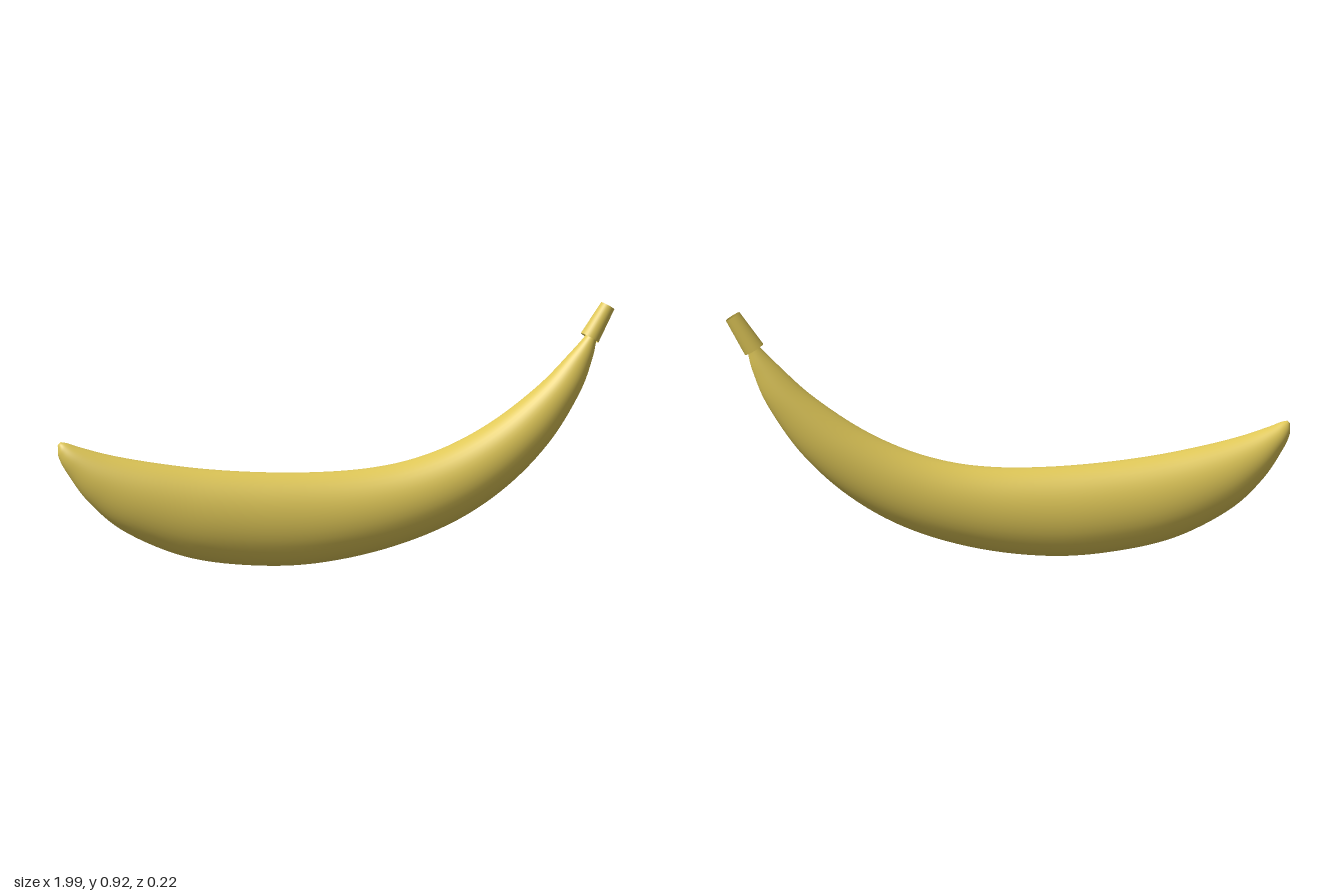
import * as THREE from 'three';

// Cross-sections along the fruit: inner edge x, y, outer edge x, y, half depth
const SECTIONS = [
  [-0.988, 0.478, -0.998, 0.457, 0.010],
  [-0.965, 0.473, -0.996, 0.425, 0.025],
  [-0.92, 0.456, -0.97, 0.37, 0.045],
  [-0.82, 0.425, -0.90, 0.265, 0.072],
  [-0.68, 0.394, -0.78, 0.155, 0.094],
  [-0.50, 0.364, -0.58, 0.058, 0.107],
  [-0.30, 0.344, -0.36, 0.014, 0.11],
  [-0.10, 0.336, -0.12, 0.006, 0.11],
  [0.08, 0.342, 0.15, 0.048, 0.11],
  [0.24, 0.367, 0.40, 0.135, 0.108],
  [0.40, 0.42, 0.60, 0.26, 0.10],
  [0.56, 0.505, 0.76, 0.42, 0.085],
  [0.72, 0.625, 0.87, 0.595, 0.06],
  [0.83, 0.735, 0.915, 0.715, 0.037],
  [0.885, 0.795, 0.93, 0.785, 0.024],
  [0.905, 0.822, 0.94, 0.81, 0.02],
];

// Smooth loft of elliptical rings between the inner and outer edge curves
function fruitGeometry(rings = 96, sides = 40) {
  const spline = (f) => new THREE.CatmullRomCurve3(SECTIONS.map(f), false, 'catmullrom', 0.5);
  const inner = spline((s) => new THREE.Vector3(s[0], s[1], 0));
  const outer = spline((s) => new THREE.Vector3(s[2], s[3], s[4]));
  const positions = [];
  const index = [];
  const centres = [];
  for (let i = 0; i <= rings; i++) {
    const a = inner.getPoint(i / rings);
    const b = outer.getPoint(i / rings);
    const depth = b.z;
    b.z = 0;
    const centre = a.clone().add(b).multiplyScalar(0.5);
    const up = a.sub(centre);
    centres.push(centre);
    for (let j = 0; j < sides; j++) {
      const t = (j / sides) * Math.PI * 2;
      positions.push(centre.x + up.x * Math.cos(t), centre.y + up.y * Math.cos(t), depth * Math.sin(t));
    }
  }
  for (let i = 0; i < rings; i++) {
    for (let j = 0; j < sides; j++) {
      const k = (j + 1) % sides;
      const a = i * sides + j, c = i * sides + k;
      index.push(a, c, a + sides, c, c + sides, a + sides);
    }
  }
  // Close both ends
  const start = positions.length / 3;
  const first = centres[0], last = centres[rings];
  positions.push(first.x - 0.005, first.y, 0, last.x, last.y, 0);
  for (let j = 0; j < sides; j++) {
    const k = (j + 1) % sides;
    index.push(start, k, j, start + 1, rings * sides + j, rings * sides + k);
  }
  const geometry = new THREE.BufferGeometry();
  geometry.setAttribute('position', new THREE.Float32BufferAttribute(positions, 3));
  geometry.setIndex(index);
  geometry.computeVertexNormals();
  return geometry;
}

export function createModel() {
  const group = new THREE.Group();
  group.name = 'banana';
  const yellow = new THREE.MeshStandardMaterial({ color: 0xe0c858, side: THREE.DoubleSide });
  yellow.name = 'bananaYellow';

  const fruit = new THREE.Mesh(fruitGeometry(), yellow);
  fruit.name = 'fruit';
  group.add(fruit);

  // Hollow tapered stem
  const base = new THREE.Vector3(0.907, 0.792, -0.005);
  const tip = new THREE.Vector3(0.973, 0.907, -0.006);
  const axis = tip.clone().sub(base);
  const stem = new THREE.Mesh(new THREE.CylinderGeometry(0.027, 0.036, axis.length(), 32, 1, true), yellow);
  stem.name = 'stem';
  stem.position.copy(base).add(tip).multiplyScalar(0.5);
  stem.quaternion.setFromUnitVectors(new THREE.Vector3(0, 1, 0), axis.normalize());
  group.add(stem);

  return group;
}
